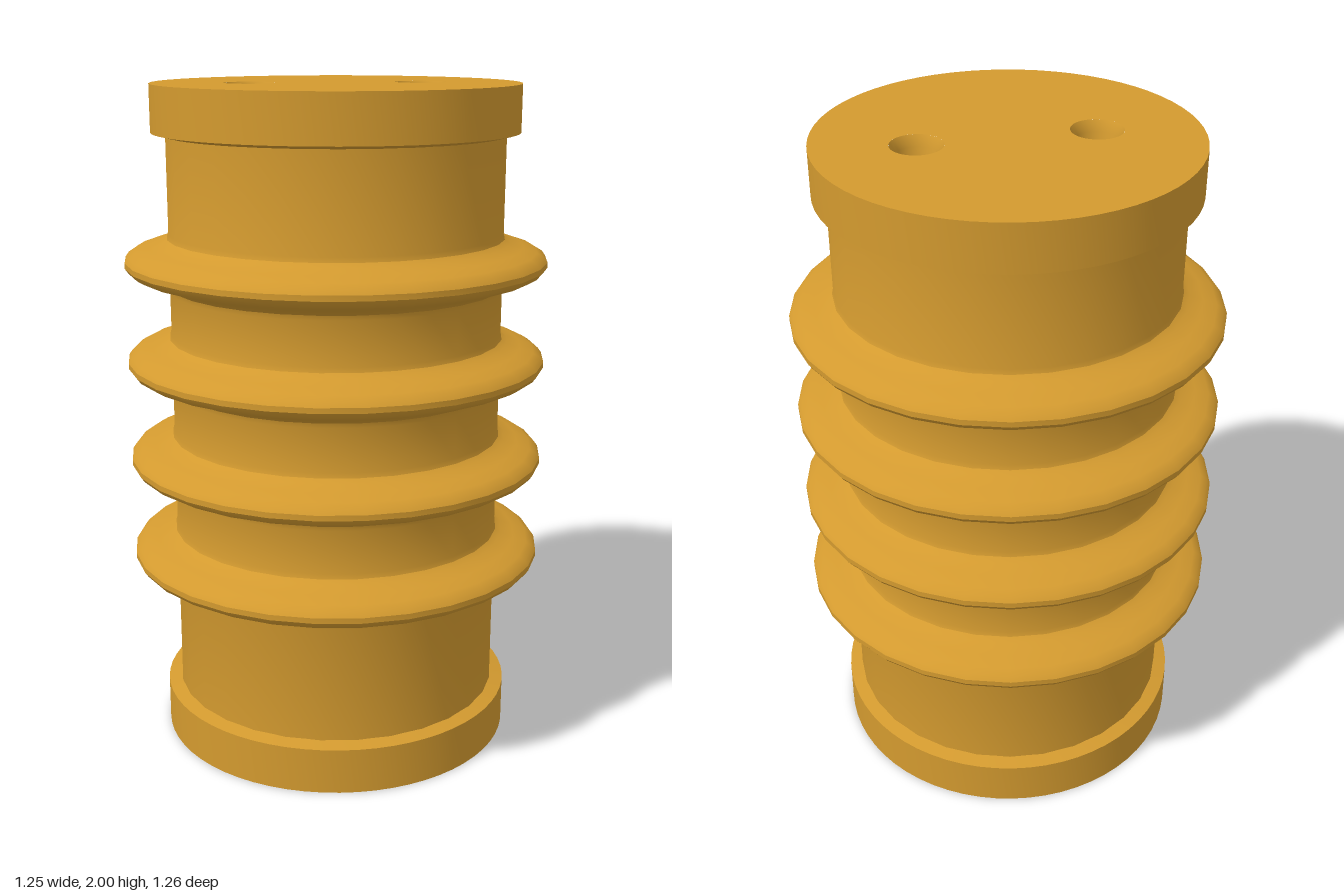
import * as THREE from 'three';
import { toCreasedNormals } from 'three/addons/utils/BufferGeometryUtils.js';

const material = new THREE.MeshStandardMaterial({ color: 0xd39a2f });

function addMesh(parent, name, geometry) {
  const mesh = new THREE.Mesh(geometry, material);
  mesh.name = name;
  parent.add(mesh);
  return mesh;
}

// Surface of revolution about y; profile points are [radius, height]
function turned(profile, segments) {
  const points = profile.map(([r, y]) => new THREE.Vector2(r, y));
  return toCreasedNormals(new THREE.LatheGeometry(points, segments), 0.6);
}

// Flat disc with round holes, facing +z before it is turned up or down
function discWithHoles(radius, holes) {
  const shape = new THREE.Shape().absarc(0, 0, radius, 0, Math.PI * 2);
  for (const [x, r] of holes) {
    shape.holes.push(new THREE.Path().absarc(x, 0, r, 0, Math.PI * 2, true));
  }
  return new THREE.ShapeGeometry(shape, 32);
}

// Blind bore running down from y = 0: chamfered mouth, straight wall, domed end
function bore(mouth, radius, depth) {
  const profile = [[mouth, 0], [radius, -0.03], [radius, -depth]];
  for (let i = 1; i <= 6; i++) {
    const a = (i / 6) * Math.PI / 2;
    profile.push([i === 6 ? 0 : radius * Math.cos(a), -depth - radius * 0.6 * Math.sin(a)]);
  }
  return turned(profile, 32);
}

export function createModel() {
  const model = new THREE.Group();
  model.name = 'ribbedInsulator';
  const bodyR = 0.5, capR = 0.54, height = 2;

  // Body with four rounded ribs, as a single profile
  const rib = [
    [0.5, -0.085], [0.504, -0.071], [0.52, -0.06], [0.56, -0.047], [0.6, -0.034],
    [0.62, -0.022], [0.63, -0.008], [0.63, 0.008], [0.62, 0.022], [0.6, 0.034],
    [0.56, 0.047], [0.52, 0.06], [0.504, 0.071], [0.5, 0.085],
  ];
  const profile = [[bodyR, 0.14]];
  for (let i = 0; i < 4; i++) {
    for (const [r, y] of rib) profile.push([r, 0.585 + i * 0.3 + y]);
  }
  profile.push([bodyR, height - 0.14]);
  addMesh(model, 'ribbedBody', turned(profile, 30));

  // End collars with a shallow sloping shoulder
  const collar = [[capR, 0], [capR, 0.138], [bodyR - 0.01, 0.15]];
  addMesh(model, 'bottomCollar', turned(collar, 64));
  const topCollar = collar.map(([r, y]) => [r, height - y]).reverse();
  addMesh(model, 'topCollar', turned(topCollar, 64));

  // Top face with two mounting holes
  const topFace = addMesh(model, 'topFace', discWithHoles(capR, [[-0.25, 0.075], [0.25, 0.075]]));
  topFace.rotation.x = -Math.PI / 2;
  topFace.position.y = height;
  for (const side of [-1, 1]) {
    const hole = addMesh(model, side > 0 ? 'leftMountingHole' : 'rightMountingHole', bore(0.075, 0.06, 0.35));
    hole.position.set(side * 0.25, height, 0);
  }

  // Bottom face with one larger central hole
  const bottomFace = addMesh(model, 'bottomFace', discWithHoles(capR, [[0, 0.136]]));
  bottomFace.rotation.x = Math.PI / 2;
  const centreHole = addMesh(model, 'bottomMountingHole', bore(0.136, 0.118, 0.4));
  centreHole.rotation.x = Math.PI;

  return model;
}
